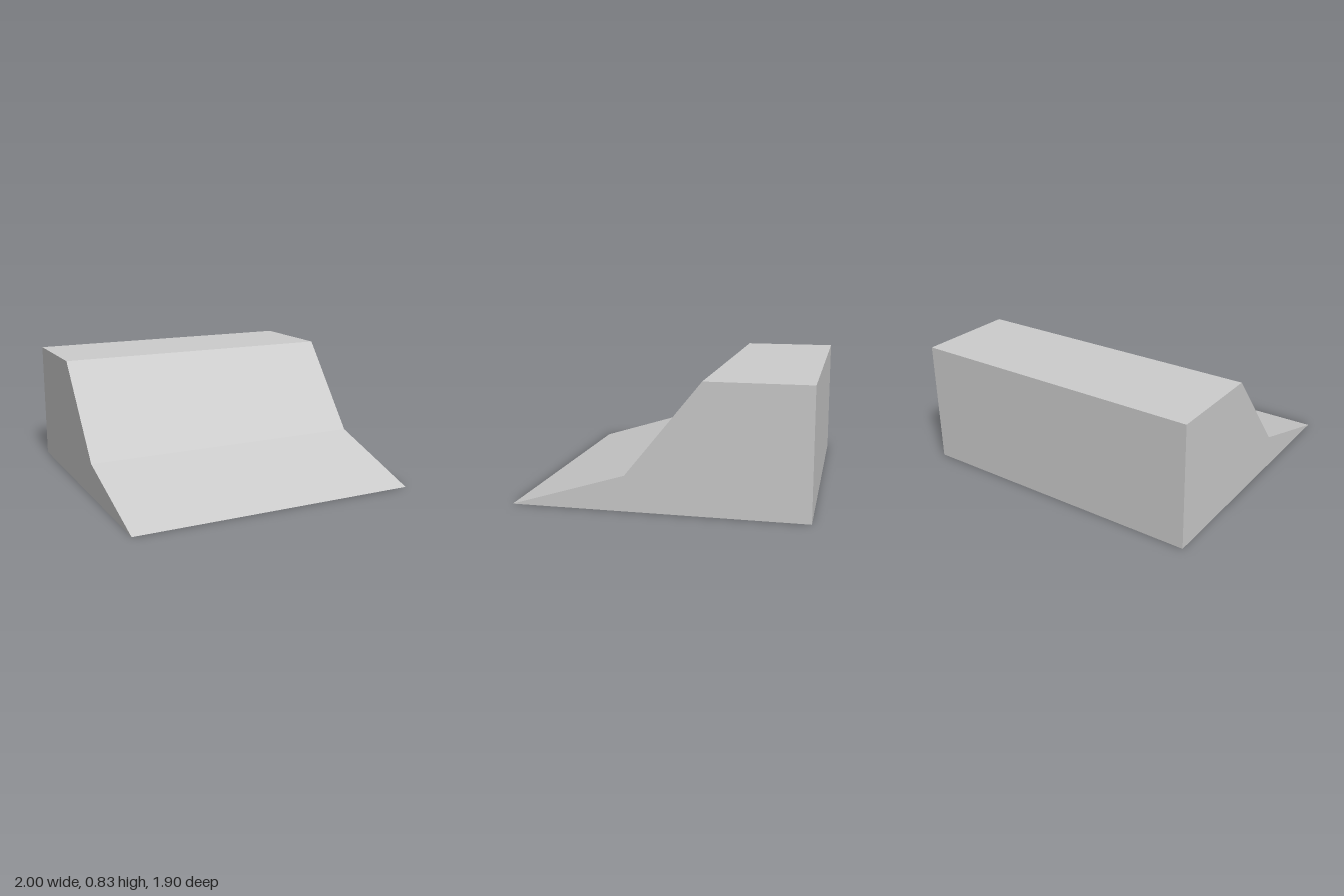
import * as THREE from 'three';

export function createModel() {
  const ramp = new THREE.Group();
  ramp.name = 'ramp';
  const grey = new THREE.MeshStandardMaterial({ color: 0xcccccc, side: THREE.DoubleSide });
  grey.name = 'light grey';

  // Side profile as [z, y], running from the front lip over the deck to the back foot
  const profile = [[0.95, 0], [0.205, 0.23], [-0.285, 0.835], [-0.95, 0.835], [-0.95, 0]];
  const names = ['lowerSlope', 'upperSlope', 'deck', 'backWall'];
  const half = 1;

  const add = (name, geometry) => {
    const mesh = new THREE.Mesh(geometry, grey);
    mesh.name = name;
    ramp.add(mesh);
    return mesh;
  };

  // Full-width panels, one per profile segment; the underside stays open
  names.forEach((name, i) => {
    const [z0, y0] = profile[i];
    const [z1, y1] = profile[i + 1];
    const panel = new THREE.BufferGeometry();
    panel.setAttribute('position', new THREE.Float32BufferAttribute([
      -half, y0, z0, half, y0, z0, half, y1, z1, -half, y1, z1,
    ], 3));
    panel.setIndex([0, 1, 2, 0, 2, 3]);
    panel.computeVertexNormals();
    add(name, panel);
  });

  // End walls, each facing outward
  for (const side of [1, -1]) {
    const shape = new THREE.Shape(profile.map(([z, y]) => new THREE.Vector2(-side * z, y)));
    const wall = new THREE.ShapeGeometry(shape).rotateY(side * Math.PI / 2);
    add(side > 0 ? 'leftWall' : 'rightWall', wall).position.x = side * half;
  }

  return ramp;
}
